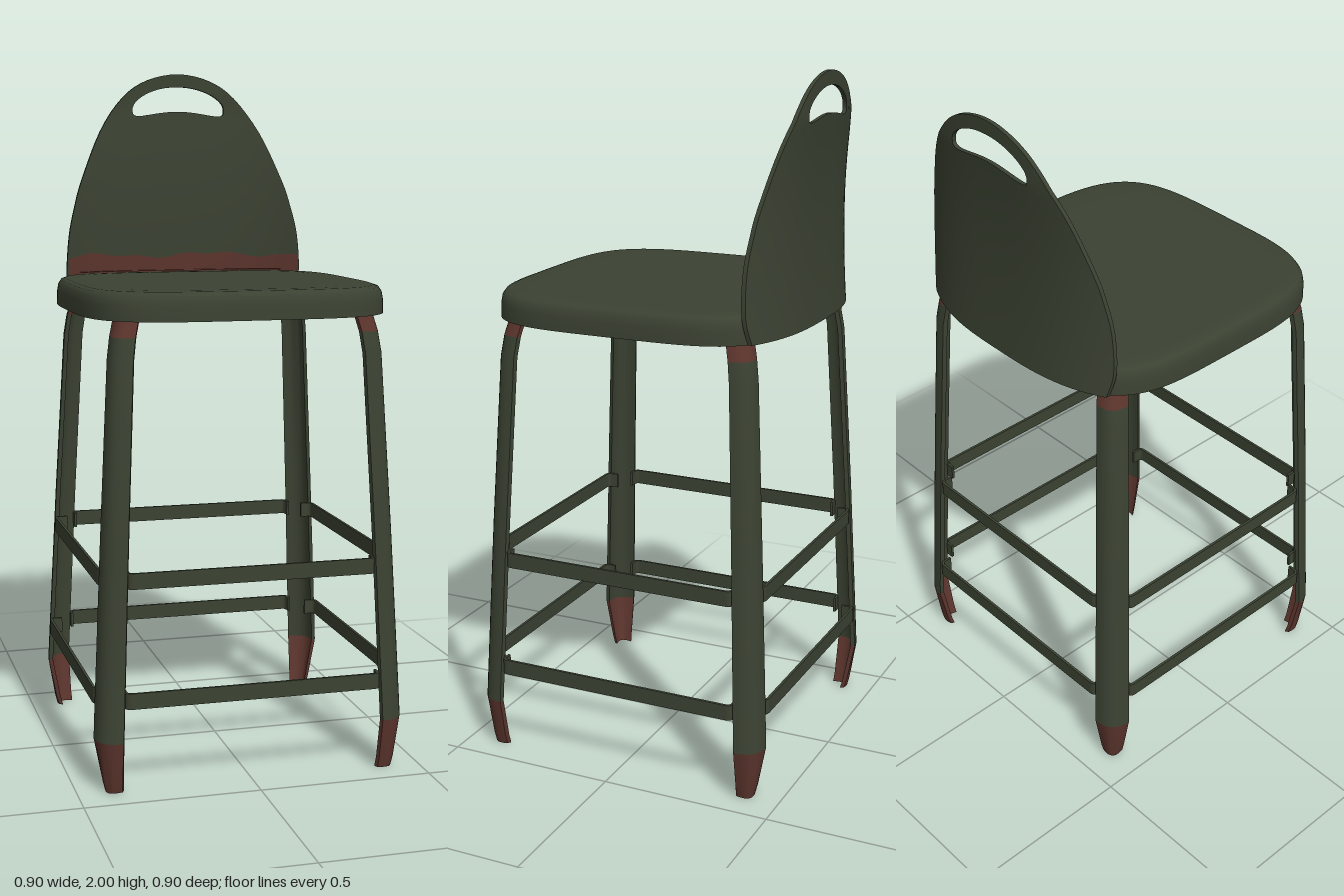
import * as THREE from 'three';
import { toCreasedNormals } from 'three/addons/utils/BufferGeometryUtils.js';

const material = (name, color) => Object.assign(new THREE.MeshStandardMaterial({ color }), { name });

// Skin closed rings of [x, y, z] points; outward = ring direction x loft direction
function loft(rings, { closed = false, capped = false, crease = 0.7 } = {}) {
  const n = rings[0].length, m = rings.length, index = [];
  for (let i = 0; i < (closed ? m : m - 1); i++) {
    for (let j = 0; j < n; j++) {
      const k = (j + 1) % n, a = i * n, b = ((i + 1) % m) * n;
      index.push(a + j, a + k, b + k, a + j, b + k, b + j);
    }
  }
  if (capped) { // strips joining the two halves of the end rings
    const t = (m - 1) * n;
    for (let j = 0; j < n / 2 - 1; j++) {
      const q = n - 1 - j;
      index.push(j, q, q - 1, j, q - 1, j + 1);
      index.push(t + j, t + q - 1, t + q, t + j, t + j + 1, t + q - 1);
    }
  }
  const geo = new THREE.BufferGeometry();
  geo.setAttribute('position', new THREE.Float32BufferAttribute(rings.flat(2), 3));
  geo.setIndex(index);
  return toCreasedNormals(geo, crease);
}

function addMesh(parent, name, geo, mat) {
  const mesh = new THREE.Mesh(geo, mat);
  mesh.name = name;
  parent.add(mesh);
  return mesh;
}

const signedPow = (v, p) => Math.sign(v) * Math.abs(v) ** p;
const wave = (x) => 0.006 * Math.sin(x * 17) + 0.004 * Math.sin(x * 41 + 1);

// Rounded-square seat outline, scaled by s at height y
function seatRing(s, y) {
  return Array.from({ length: 80 }, (_, i) => {
    const a = (i / 80) * Math.PI * 2;
    const x = signedPow(Math.sin(a), 0.5), z = signedPow(Math.cos(a), 0.5);
    return [x * 0.44 * s, y, z * (z > 0 ? 0.445 : 0.43) * s];
  });
}
const seatLoft = (profile) => loft(profile.map(([s, y]) => seatRing(s, y)));

// Depth of the bent backrest sheet
function backZ(x, y) {
  const centre = y < 1.6 ? -0.432 - 0.013 * ((1.6 - y) / 0.3) ** 2
    : -0.432 - 0.018 * Math.min(1, (y - 1.6) / 0.28) ** 2;
  return centre + 1.4 * Math.abs(x) ** 3;
}

function backrestGeometry() {
  const half = [[0.362, 1.305], [0.376, 1.38], [0.368, 1.5], [0.348, 1.59], [0.323, 1.67],
    [0.257, 1.82], [0.18, 1.926], [0.1, 1.98]];
  const points = [...half, [0, 2], ...half.map(([x, y]) => [-x, y]).reverse()];
  const outer = new THREE.SplineCurve(points.map((p) => new THREE.Vector2(...p)))
    .getPoints(64).map((p) => [p.x, p.y]);
  for (let i = 1; i < 24; i++) outer.push([-0.362 + (0.724 * i) / 24, 1.305]);
  // arched hand slot, matched point by point to the outline
  const slot = outer.map(([x, y]) => {
    const a = Math.atan2((y - 1.72) / 0.3, x / 0.375);
    const hx = 0.148 * signedPow(Math.cos(a), 0.7);
    return [hx, 1.922 - 1.6 * hx * hx + 0.038 * signedPow(Math.sin(a), 0.7)];
  });
  const steps = 14;
  const sheet = (t, offset) => outer.map(([x, y], i) => {
    const px = THREE.MathUtils.lerp(x, slot[i][0], t), py = THREE.MathUtils.lerp(y, slot[i][1], t);
    return [px, py, backZ(px, py) + offset];
  });
  const rings = [];
  for (let i = 0; i <= steps; i++) rings.push(sheet(i / steps, 0.006));
  for (let i = steps; i >= 0; i--) rings.push(sheet(i / steps, -0.006));
  return loft(rings, { closed: true });
}

// Curved channel section of a leg: height, distance from centre, width
function legRing([y, radius, width]) {
  const arc = Array.from({ length: 9 }, (_, i) => i / 4 - 1);
  const side = (inset) => arc.map((u) => [(u * width) / 2 * (1 - inset), y,
    radius - 0.025 * u * u - inset * 0.1]);
  return [...side(0), ...side(0.12).reverse()];
}
const legLoft = (stations) => loft(stations.map(legRing), { capped: true });

// Flat bar with both ends bent inwards
function railGeometry(L) {
  const h = 0.045, e = 0.04, r = 0.02, t = 0.008;
  const s = new THREE.Shape();
  s.moveTo(-L, -e);
  s.lineTo(-L + t, -e);
  s.lineTo(-L + t, -r);
  s.quadraticCurveTo(-L + t, -t, -L + r, -t);
  s.lineTo(L - r, -t);
  s.quadraticCurveTo(L - t, -t, L - t, -r);
  s.lineTo(L - t, -e);
  s.lineTo(L, -e);
  s.lineTo(L, -r);
  s.quadraticCurveTo(L, 0, L - r, 0);
  s.lineTo(-L + r, 0);
  s.quadraticCurveTo(-L, 0, -L, -r);
  s.closePath();
  return new THREE.ExtrudeGeometry(s, { depth: h, bevelEnabled: false, curveSegments: 5 }).rotateX(Math.PI / 2);
}

// Worn patch: a grid whose vertices are placed by a rule of x and v (0 to 1)
function patchGeometry(width, place) {
  const geo = new THREE.PlaneGeometry(width, 1, 48, 4), p = geo.attributes.position;
  for (let i = 0; i < p.count; i++) p.setXYZ(i, ...place(p.getX(i), p.getY(i) + 0.5));
  geo.computeVertexNormals();
  return geo;
}

export function createModel() {
  const model = new THREE.Group();
  model.name = 'barStool';
  const green = material('dark green paint', 0x3b4232);
  const rust = material('rust red', 0x5c352d);

  // Pressed seat with a turned-down skirt, hollow underneath
  const seat = new THREE.Group();
  seat.name = 'seat';
  model.add(seat);
  addMesh(seat, 'seatShell', seatLoft([[1, 1.305], [0.998, 1.345], [0.99, 1.366], [0.972, 1.379],
    [0.94, 1.384], [0.85, 1.385], [0.5, 1.384], [0.001, 1.384]]), green);
  addMesh(seat, 'seatLip', seatLoft([[0.97, 1.365], [0.98, 1.306], [1, 1.305]]), rust);
  addMesh(seat, 'seatUnderside', seatLoft([[0.001, 1.37], [0.5, 1.37], [0.97, 1.365]]), green);
  addMesh(seat, 'seatWear', patchGeometry(0.74, (x, v) => {
    const back = -0.425 * (1 - (x / 0.44) ** 4) ** 0.25;
    const front = Math.max(back, -0.376 + wave(x));
    return [x, 1.388, THREE.MathUtils.lerp(front, back, v)];
  }), rust);

  // Backrest sheet with worn lower edge
  const back = new THREE.Group();
  back.name = 'backrest';
  model.add(back);
  addMesh(back, 'backrestPanel', backrestGeometry(), green);
  addMesh(back, 'backrestWear', patchGeometry(0.74, (x, v) => {
    const y = THREE.MathUtils.lerp(1.38, 1.436 + wave(x), v);
    return [x, y, backZ(x, y) + 0.009];
  }), rust);

  // Four corner legs and the rails between them
  const foot = legLoft([[0, 0.585, 0.058], [0.03, 0.592, 0.068], [0.15, 0.609, 0.1]]);
  const shaft = legLoft([[0.15, 0.609, 0.1], [0.2, 0.606, 0.1], [0.7, 0.573, 0.093], [1.2, 0.536, 0.086], [1.26, 0.524, 0.085]]);
  const top = legLoft([[1.26, 0.524, 0.085], [1.305, 0.508, 0.084], [1.36, 0.494, 0.082]]);
  const lowerRail = railGeometry(0.37), upperRail = railGeometry(0.358);
  for (let i = 0; i < 4; i++) {
    const leg = new THREE.Group();
    leg.name = 'leg';
    leg.rotation.y = Math.PI / 4 + (i * Math.PI) / 2;
    addMesh(leg, 'foot', foot, rust);
    addMesh(leg, 'legShaft', shaft, green);
    addMesh(leg, 'legTop', top, rust);
    const rails = new THREE.Group();
    rails.name = 'rails';
    rails.rotation.y = (i * Math.PI) / 2;
    addMesh(rails, 'lowerRail', lowerRail, green).position.set(0, 0.29, 0.446);
    addMesh(rails, 'upperRail', upperRail, green).position.set(0, 0.622, 0.427);
    model.add(leg, rails);
  }
  return model;
}
